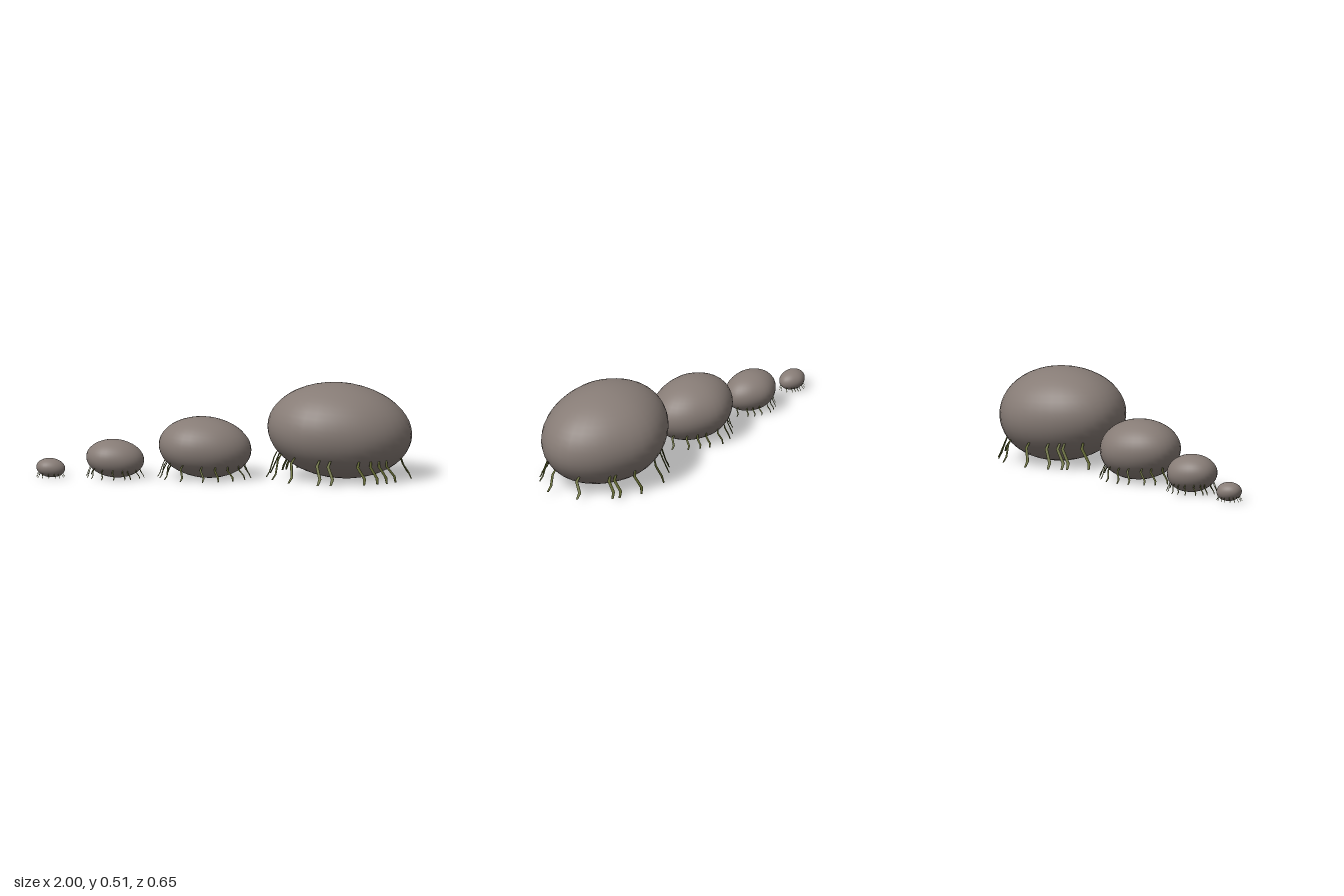
import * as THREE from 'three';
import { mergeVertices } from 'three/addons/utils/BufferGeometryUtils.js';

// half sizes of the full-size stone
const A = 0.384, H = 0.253, B = 0.318;

// bulge of the stone's plan outline, sampled every 30 degrees from +x towards +z
const outline = new THREE.CatmullRomCurve3(
  [1, 0.995, 0.975, 0.97, 1.02, 1.005, 1, 0.965, 0.975, 1.03, 0.96, 0.955]
    .map(k => new THREE.Vector3(k, 0, 0)), true, 'catmullrom');
const bulge = a => outline.getPoint((((a / (2 * Math.PI)) % 1) + 1) % 1).x;

// lumpy, slightly tilted ellipsoid standing on y = 0
function stoneGeometry() {
  let g = new THREE.SphereGeometry(1, 36, 24);
  g.deleteAttribute('uv');
  g.deleteAttribute('normal');
  g = mergeVertices(g, 1e-4);
  const p = g.attributes.position;
  for (let i = 0; i < p.count; i++) {
    const x = p.getX(i), y = p.getY(i), z = p.getZ(i);
    const k = 1 + (bulge(Math.atan2(z, x)) - 1) * Math.hypot(x, z);
    p.setXYZ(i, x * A * k, 0.257 + y * H - 0.022 * x, z * B * k - 0.002);
  }
  g.computeVertexNormals();
  return g;
}

// flat kinked strand hanging from the stone's lower side at angle a
const rows = [ // height, reach, sideways kink, half width
  [0.134, 0.87, 0, 0.006],
  [0.105, 0.905, 0.011, 0.0095],
  [0.042, 0.975, -0.018, 0.0095],
  [0.011, 1.02, -0.01, 0.006],
];
function strandGeometry(a, kink) {
  const g = new THREE.CylinderGeometry(1, 1, 3, 6, 3);
  const p = g.attributes.position;
  const c = Math.cos(a), s = Math.sin(a), k = bulge(a);
  for (let i = 0; i < p.count; i++) {
    const [y, reach, side, w] = rows[Math.round(1.5 - p.getY(i))];
    const t = p.getX(i) * w + side * kink;  // along the stone's rim
    const n = -p.getZ(i) * 0.0035;          // away from the stone
    const rise = y > 0.1 ? -0.012 * c : 0;
    p.setXYZ(i, A * reach * k * c - s * t + c * n, y + rise,
      B * reach * k * s + c * t + s * n);
  }
  g.computeVertexNormals();
  return g;
}

export function createModel() {
  const model = new THREE.Group();
  const stoneGrey = new THREE.MeshStandardMaterial({ color: 0x877c76 });
  stoneGrey.name = 'stoneGrey';
  const mossGreen = new THREE.MeshStandardMaterial({ color: 0x646a32 });
  mossGreen.name = 'mossGreen';

  let seed = 7;
  const random = () => (seed = (seed * 16807) % 2147483647) / 2147483647;

  const body = stoneGeometry();
  const bigAngles = [15, 41, 50, 59, 71, 98, 108, 134, 157, 174, 197, 217, 222, 234, 255, 283, 303, 309, 342];
  const evenAngles = [15, 33, 54, 74, 94, 122, 149, 164, 180, 200, 216, 238, 254, 272, 291, 305, 322, 345];

  // four stones in a row, from large to small
  const stones = [['large', 0.61, 1], ['medium', -0.105, 0.64], ['small', -0.582, 0.4], ['tiny', -0.924, 0.2]];
  stones.forEach(([size, x, scale], i) => {
    const group = new THREE.Group();
    group.name = size + 'Stone';
    const stone = new THREE.Mesh(body, stoneGrey);
    stone.name = size + 'StoneBody';
    group.add(stone);

    const angles = i === 0 ? bigAngles : evenAngles;
    angles.forEach(deg => {
      const jitter = i < 2 ? 0 : (random() - 0.5) * 12;
      const a = THREE.MathUtils.degToRad(deg + jitter);
      const strand = new THREE.Mesh(strandGeometry(a, 0.75 + 0.4 * random()), mossGreen);
      strand.name = size + 'StoneStrand';
      group.add(strand);
    });

    group.scale.setScalar(scale);
    group.position.x = x;
    model.add(group);
  });
  return model;
}
